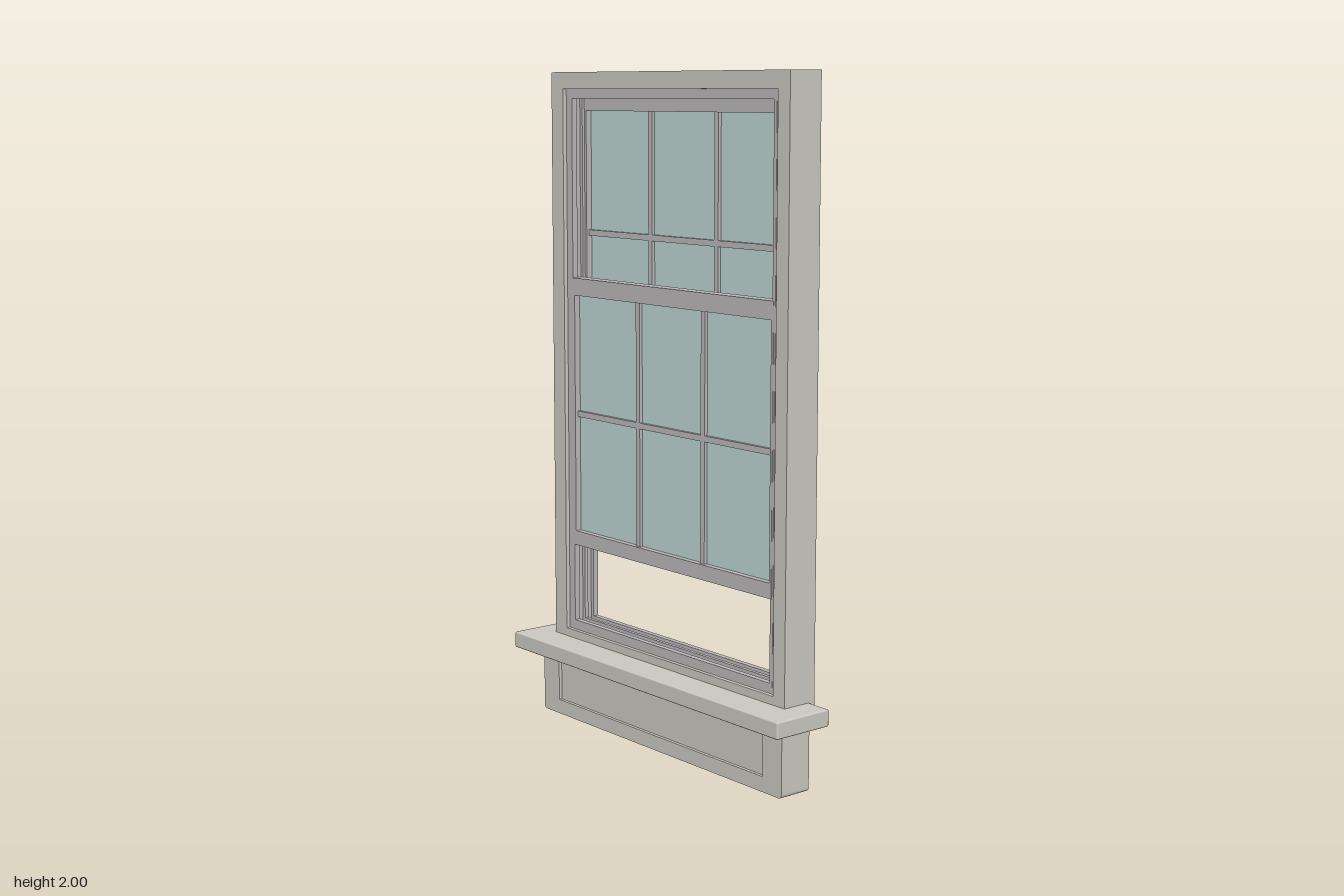
import * as THREE from 'three';
import { RoundedBoxGeometry } from 'three/addons/geometries/RoundedBoxGeometry.js';

const paint = (color) => new THREE.MeshStandardMaterial({ color });
const CASING = paint(0xcbc9c1);
const SASH = paint(0xbcb9ba);
const GLASS = paint(0xbdd6d2);

function add(parent, name, geometry, material) {
  const mesh = new THREE.Mesh(geometry, material);
  mesh.name = name;
  parent.add(mesh);
  return mesh;
}

// Box given by its limits on each axis
function box(parent, name, [x0, x1], [y0, y1], [z0, z1], material, radius = 0) {
  const size = [x1 - x0, y1 - y0, z1 - z0];
  const geometry = radius
    ? new RoundedBoxGeometry(...size, 2, radius)
    : new THREE.BoxGeometry(...size);
  const mesh = add(parent, name, geometry, material);
  mesh.position.set((x0 + x1) / 2, (y0 + y1) / 2, (z0 + z1) / 2);
  return mesh;
}

const rectPoints = ([x0, x1], [y0, y1]) => [
  new THREE.Vector2(x0, y0), new THREE.Vector2(x1, y0),
  new THREE.Vector2(x1, y1), new THREE.Vector2(x0, y1),
];

// Rectangular ring: outer and inner limits, extruded from z0 to z1
function ring(parent, name, outer, inner, [z0, z1], material) {
  const shape = new THREE.Shape(rectPoints(...outer));
  shape.holes.push(new THREE.Path(rectPoints(...inner).reverse()));
  const geometry = new THREE.ExtrudeGeometry(shape, { depth: z1 - z0, bevelEnabled: false });
  geometry.translate(0, 0, z0);
  return add(parent, name, geometry, material);
}

// Sliding sash: frame, 3 x 2 panes with glazing bars, and glass
function sash(name, [y0, y1], [g0, g1], [z0, z1]) {
  const group = new THREE.Group();
  group.name = name;
  const gx = [-0.436, 0.456], bar = 0.009;
  const mid = (z0 + z1) / 2;
  ring(group, name + 'Frame', [[-0.45, 0.465], [y0, y1]], [gx, [g0, g1]], [z0, z1], SASH);
  box(group, name + 'Glass', gx, [g0, g1], [mid - 0.003, mid + 0.003], GLASS);
  const barZ = [mid - 0.013, mid + 0.013];
  for (const i of [1, 2]) {
    const x = gx[0] + ((gx[1] - gx[0]) * i) / 3;
    box(group, name + 'VerticalBar', [x - bar, x + bar], [g0, g1], barZ, SASH);
  }
  const y = (g0 + g1) / 2;
  box(group, name + 'HorizontalBar', gx, [y - bar, y + bar], barZ, SASH);
  return group;
}

export function createModel() {
  const model = new THREE.Group();
  model.name = 'sashWindow';

  // Outer casing
  const casingHole = [[-0.474, 0.488], [0.275, 1.95]];
  ring(model, 'casing', [[-0.531, 0.536], [0.228, 2]], casingHole, [-0.107, 0.007], CASING);

  // Jamb lining: three stops with shallow sash tracks between them
  const opening = [[-0.445, 0.46], [0.305, 1.922]];
  const track = [[-0.457, 0.472], [0.293, 1.934]];
  ring(model, 'jambTracks', casingHole, track, [-0.094, -0.006], SASH);
  for (const z of [[-0.023, -0.005], [-0.056, -0.044], [-0.095, -0.077]]) {
    ring(model, 'jambStop', track, opening, z, SASH);
  }

  // Lower sash in front, raised a little; upper sash behind
  model.add(sash('lowerSash', [0.547, 1.38], [0.592, 1.327], [-0.048, -0.004]));
  model.add(sash('upperSash', [1.092, 1.925], [1.147, 1.885], [-0.096, -0.052]));

  // Sill
  box(model, 'sill', [-0.616, 0.616], [0.2, 0.25], [-0.088, 0.107], CASING, 0.005);

  // Apron with a recessed panel and softened lower corners
  const apron = new THREE.Group();
  apron.name = 'apron';
  const [x0, x1, r] = [-0.558, 0.556, 0.012];
  const outline = new THREE.Shape();
  outline.moveTo(x0, 0.205);
  outline.lineTo(x0, r);
  outline.quadraticCurveTo(x0, 0, x0 + r, 0);
  outline.lineTo(x1 - r, 0);
  outline.quadraticCurveTo(x1, 0, x1, r);
  outline.lineTo(x1, 0.205);
  outline.closePath();
  const options = { bevelEnabled: false, curveSegments: 4 };
  const back = new THREE.ExtrudeGeometry(outline, { ...options, depth: 0.094 });
  add(apron, 'apronBody', back.translate(0, 0, -0.07), CASING);
  const face = outline.clone();
  face.holes.push(new THREE.Path(rectPoints([-0.48, 0.477], [0.045, 0.172]).reverse()));
  const front = new THREE.ExtrudeGeometry(face, { ...options, depth: 0.01 });
  add(apron, 'apronFace', front.translate(0, 0, 0.024), CASING);
  model.add(apron);

  return model;
}
